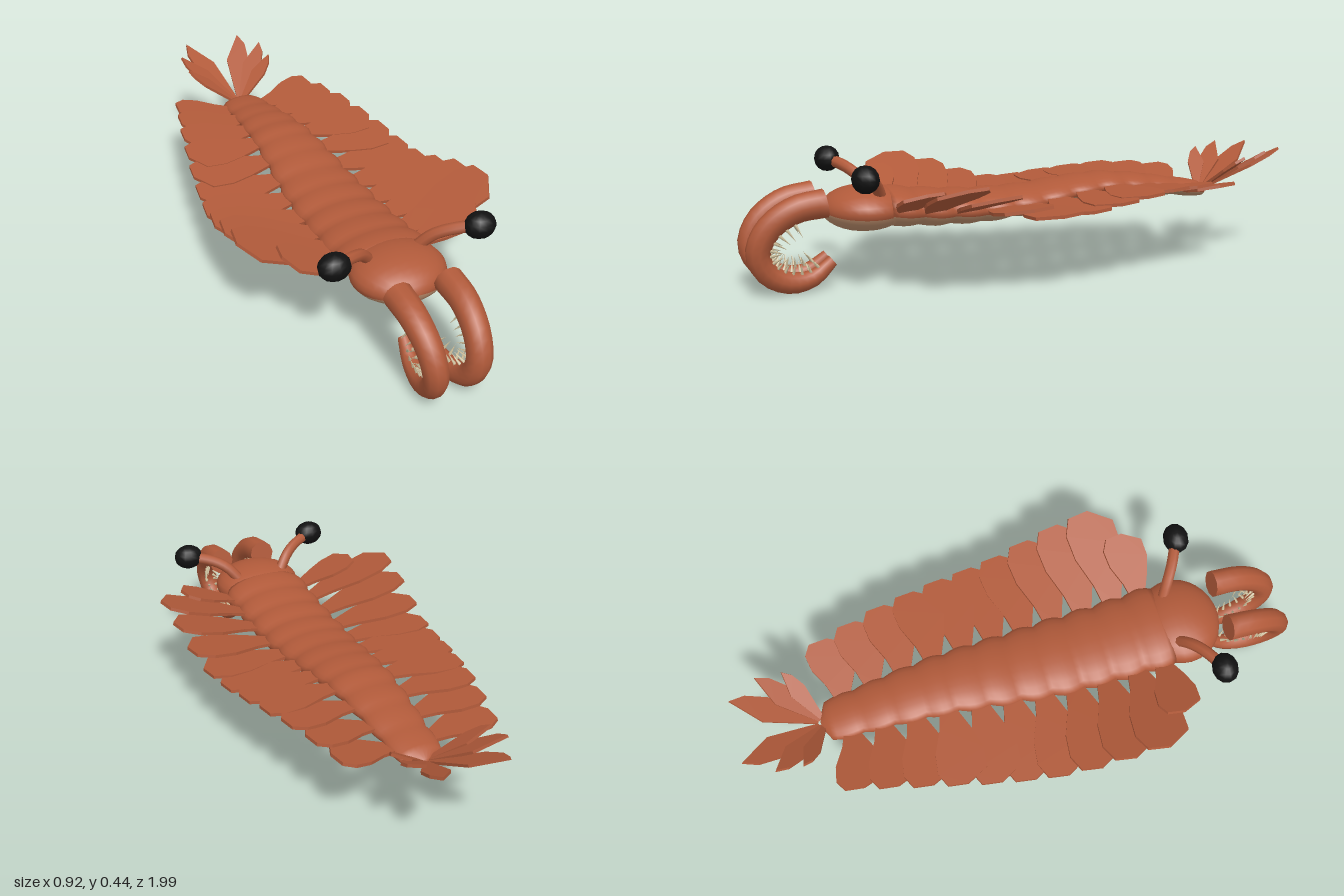
import * as THREE from 'three';

const mat = (name, color, extra = {}) => {
  const m = new THREE.MeshStandardMaterial({ color, ...extra });
  m.name = name;
  return m;
};

// piecewise-linear lookup in [key, value] pairs sorted by falling key
function lookup(table, k) {
  for (let i = 1; i < table.length; i++) {
    const [k0, v0] = table[i - 1], [k1, v1] = table[i];
    if (k >= k1) return v0 + (v1 - v0) * Math.min(1, Math.max(0, (k0 - k) / (k0 - k1)));
  }
  return table[table.length - 1][1];
}

// skin over closed rings; quads with isSecond(j) go to the second material group
function loft(rings, isSecond = () => false) {
  const n = rings[0].length, faces = [[], []];
  for (let i = 0; i < rings.length - 1; i++) {
    for (let j = 0; j < n; j++) {
      const a = i * n + j, b = i * n + (j + 1) % n, c = a + n, d = b + n;
      faces[isSecond(j) ? 1 : 0].push(a, c, b, b, c, d);
    }
  }
  const g = new THREE.BufferGeometry();
  g.setAttribute('position', new THREE.Float32BufferAttribute(rings.flat().flatMap(p => p.toArray()), 3));
  g.setIndex([...faces[0], ...faces[1]]);
  g.addGroup(0, faces[0].length, 0);
  if (faces[1].length) g.addGroup(faces[0].length, faces[1].length, 1);
  g.computeVertexNormals();
  return g;
}

const SIDES = 24;
const ellipse = (y, z, rx, ry) => Array.from({ length: SIDES }, (_, j) => {
  const a = j / SIDES * Math.PI * 2;
  return new THREE.Vector3(Math.cos(a) * rx, y + Math.sin(a) * ry, z);
});
const isBelly = j => j >= 13 && j <= 22;

// body wave, half width and half height along z
const CENTRE = [[0.53, 0.267], [0.35, 0.25], [0.18, 0.243], [0, 0.252], [-0.15, 0.275], [-0.3, 0.29], [-0.45, 0.28], [-0.6, 0.258], [-0.73, 0.24]];
const WIDTH = [[0.53, 0.16], [0.1, 0.147], [-0.3, 0.113], [-0.65, 0.082], [-0.73, 0.075]];
const HEIGHT = [[0.53, 0.068], [0.2, 0.058], [0, 0.052], [-0.3, 0.042], [-0.73, 0.03]];
const FIN_TIP_X = [[0.47, 0.35], [0.38, 0.46], [0.2, 0.452], [0, 0.425], [-0.2, 0.39], [-0.4, 0.345], [-0.64, 0.28]];
const FIN_TIP_Y = [[0.47, 0.35], [0.38, 0.375], [0.25, 0.335], [0.14, 0.29], [0.03, 0.262], [-0.1, 0.268], [-0.22, 0.287], [-0.46, 0.31], [-0.64, 0.295]];

function plate(points, depth) {
  const s = new THREE.Shape(points.map(p => new THREE.Vector2(...p)));
  const g = new THREE.ExtrudeGeometry(s, { depth, bevelEnabled: false });
  g.translate(0, 0, -depth / 2);
  return g.rotateX(-Math.PI / 2); // shape y now points backward
}

export function createModel() {
  const model = new THREE.Group();
  const shell = mat('rust shell', 0xb15a3a);
  const flat = shell;
  const belly = mat('tan belly', 0xbd8e6c);
  const black = mat('black eye', 0x111111);
  const ivory = mat('ivory spine', 0xd2c4a0);
  const add = (parent, name, geo, material) => {
    const m = new THREE.Mesh(geo, material);
    m.name = name;
    parent.add(m);
    return m;
  };

  // segmented, gently waving trunk
  const SEG = 11, STEP = 6, body = [ellipse(0.267, 0.53, 0, 0)];
  for (let i = 0; i <= SEG * STEP; i++) {
    const z = 0.525 - 1.23 * i / (SEG * STEP);
    const bulge = 0.92 + 0.1 * Math.abs(Math.sin(Math.PI * i / STEP));
    body.push(ellipse(lookup(CENTRE, z), z, lookup(WIDTH, z) * bulge, lookup(HEIGHT, z) * bulge));
  }
  body.push(ellipse(0.24, -0.73, 0.02, 0.012), ellipse(0.24, -0.733, 0, 0));
  add(model, 'body', loft(body, isBelly), [shell, belly]);

  // rounded head
  const head = [];
  for (let i = 0; i <= 16; i++) {
    const a = i / 16 * Math.PI, r = Math.sin(a);
    head.push(ellipse(0.264, 0.583 + 0.145 * Math.cos(a), 0.16 * r, 0.077 * r));
  }
  add(model, 'head', loft(head, isBelly), [shell, belly]);

  // everything below is built on the left and mirrored
  for (const side of [1, -1]) {
    const half = new THREE.Group();
    half.name = side > 0 ? 'leftSide' : 'rightSide';
    half.scale.x = side;
    model.add(half);

    // overlapping swimming flaps
    for (let i = 0; i < 11; i++) {
      const z = i === 0 ? 0.475 : 0.38 - 0.113 * (i - 1);
      const rootX = lookup(WIDTH, z) * 0.8, rootY = lookup(CENTRE, z);
      const dx = lookup(FIN_TIP_X, z) - rootX, dy = lookup(FIN_TIP_Y, z) - rootY;
      const L = Math.hypot(dx, dy), w = i === 0 ? 0.8 : 1 - 0.012 * i;
      const outline = [[0, 0.03], [0, -0.03], [0.35, -0.072], [0.6, -0.092], [0.85, -0.085],
        [1, 0], [0.97, 0.075], [0.8, 0.1], [0.55, 0.09], [0.25, 0.05]];
      const fin = add(half, 'flap' + (i + 1), plate(outline.map(([u, v]) => [u * L, v * w]), 0.011), flat);
      fin.position.set(rootX, rootY, z);
      fin.rotation.set(0.09, 0, Math.atan2(dy, dx), 'ZYX');
    }

    // tail fan blades
    const tips = [[0.112, 0.392, -1.0], [0.17, 0.39, -0.9], [0.172, 0.372, -0.81]];
    tips.forEach((tip, i) => {
      const root = new THREE.Vector3(0.008 + 0.005 * i, 0.245, -0.74 + 0.008 * i);
      const d = new THREE.Vector3(...tip).sub(root), L = d.length(), w = L * 0.14;
      const geo = plate([[0, -0.008], [L * 0.6, -w], [L * 0.85, -w * 0.7], [L, 0], [L * 0.6, w], [0, 0.008]], 0.01);
      const blade = add(half, 'tailBlade' + (i + 1), geo, flat);
      const x = d.normalize(), z = new THREE.Vector3().crossVectors(x, new THREE.Vector3(0, 1, 0)).normalize();
      const y = new THREE.Vector3().crossVectors(z, x);
      blade.quaternion.setFromRotationMatrix(new THREE.Matrix4().makeBasis(x, y, z));
      blade.position.copy(root);
    });

    // eye on a bent stalk
    const stalk = new THREE.CatmullRomCurve3([[0.08, 0.3, 0.545], [0.125, 0.355, 0.575], [0.17, 0.38, 0.603], [0.25, 0.398, 0.643]]
      .map(p => new THREE.Vector3(...p)));
    add(half, 'eyeStalk', new THREE.TubeGeometry(stalk, 10, 0.02, 8), shell);
    const eye = add(half, 'eye', new THREE.SphereGeometry(1, 12, 8), black);
    eye.scale.set(0.054, 0.045, 0.045);
    eye.position.set(0.255, 0.398, 0.645);

    // curled grasping arm, tapering to its tip
    const path = new THREE.CatmullRomCurve3([[0.088, 0.303, 0.735], [0.088, 0.287, 0.835], [0.082, 0.23, 0.92],
      [0.075, 0.15, 0.955], [0.066, 0.08, 0.925], [0.058, 0.042, 0.855], [0.05, 0.048, 0.775], [0.04, 0.1, 0.705]]
      .map(p => new THREE.Vector3(...p)));
    const X = new THREE.Vector3(1, 0, 0);
    const radius = t => 0.048 - 0.016 * t - 0.012 * Math.max(0, t - 0.75) * 4;
    const ring = (t, r) => {
      const c = path.getPointAt(t), inward = new THREE.Vector3().crossVectors(X, path.getTangentAt(t)).normalize();
      return Array.from({ length: 10 }, (_, j) => {
        const a = j / 10 * Math.PI * 2;
        return c.clone().addScaledVector(X, Math.cos(a) * r).addScaledVector(inward, Math.sin(a) * r);
      });
    };
    const arm = [ring(0, 0), ring(0, radius(0))];
    for (let i = 0; i <= 22; i++) arm.push(ring(i / 22, radius(i / 22)));
    arm.push(ring(1, radius(1)), ring(1, 0));
    add(half, 'graspingArm', loft(arm), [shell]);

    // paired spines on the inner curve of the arm
    for (let i = 0; i < 13; i++) {
      const t = 0.2 + 0.72 * i / 12, len = 0.055 - 0.015 * t;
      const inward = new THREE.Vector3().crossVectors(X, path.getTangentAt(t)).normalize();
      for (const s of [-1, 1]) {
        const dir = inward.clone().addScaledVector(X, s * 0.4).normalize();
        const spine = add(half, 'armSpine', new THREE.ConeGeometry(0.006, len, 5), ivory);
        spine.position.copy(path.getPointAt(t)).addScaledVector(dir, radius(t) * 0.9 + len / 2);
        spine.quaternion.setFromUnitVectors(new THREE.Vector3(0, 1, 0), dir);
      }
    }
  }
  return model;
}
